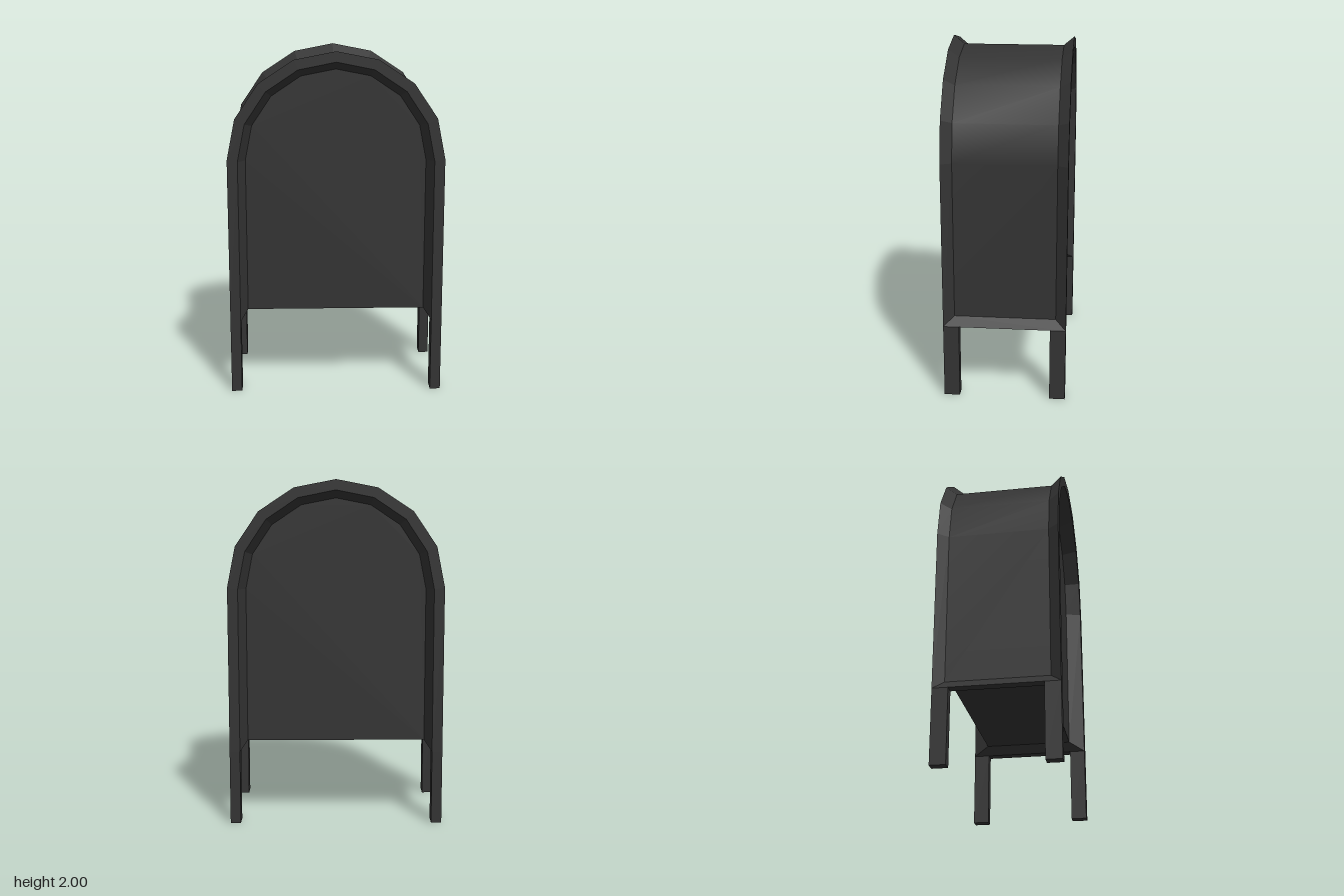
import * as THREE from 'three';

const paint = { color: 0x333333 };
const smooth = new THREE.MeshStandardMaterial(paint);
const flat = new THREE.MeshStandardMaterial({ ...paint, flatShading: true });

// Arch cross-sections: half width, spring height, arch rise, foot height, depth
const PANEL = [0.52, 1.375, 0.52, 0.48, 0.26];
const RIM_IN = [0.56, 1.38, 0.56, 0.43, 0.35];
const RIM_OUT = [0.62, 1.39, 0.61, 0.43, 0.35];
const BODY = [0.575, 1.385, 0.565, 0.48, 0.29];

// Points from the +x foot, over the arch, to the -x foot
function arch([rx, spring, rise, foot, z], side = 1) {
  const pts = [new THREE.Vector3(rx, foot, z * side)];
  for (let i = 0; i <= 8; i++) {
    const a = (i * Math.PI) / 8;
    pts.push(new THREE.Vector3(rx * Math.cos(a), spring + rise * Math.sin(a), z * side));
  }
  pts.push(new THREE.Vector3(-rx, foot, z * side));
  return pts;
}

// Strips of quads joining consecutive cross-sections
function loft(sections) {
  const n = sections[0].length, index = [];
  for (let s = 0; s < sections.length - 1; s++) {
    for (let i = 0; i < n - 1; i++) {
      const a = s * n + i, b = a + n;
      index.push(a, b, b + 1, a, b + 1, a + 1);
    }
  }
  const g = new THREE.BufferGeometry().setFromPoints(sections.flat());
  g.setIndex(index);
  g.computeVertexNormals();
  return g;
}

// Convex faces given as corner lists
function faces(list) {
  const pts = [];
  for (const f of list) {
    for (let i = 1; i < f.length - 1; i++) {
      for (const p of [f[0], f[i], f[i + 1]]) pts.push(new THREE.Vector3(...p));
    }
  }
  const g = new THREE.BufferGeometry().setFromPoints(pts);
  g.computeVertexNormals();
  return g;
}

export function createModel() {
  const model = new THREE.Group();
  const add = (name, geometry, material = flat, parent = model) => {
    const mesh = new THREE.Mesh(geometry, material);
    mesh.name = name;
    parent.add(mesh);
    return mesh;
  };

  // Barrel-vaulted shell
  add('body', loft([arch(BODY), arch(BODY, -1)]), smooth);

  // Flared rims around the recessed end panels
  const rim = loft([arch(PANEL), arch(RIM_IN), arch(RIM_OUT), arch(BODY)]);
  const panel = new THREE.ShapeGeometry(
    new THREE.Shape(arch(PANEL).map((p) => new THREE.Vector2(p.x, p.y))));
  panel.translate(0, 0, PANEL[4]);
  for (const [end, turn] of [['front', 0], ['back', Math.PI]]) {
    add(end + 'Rim', rim).rotation.y = turn;
    add(end + 'Panel', panel).rotation.y = turn;
  }

  // Floor, seen from below
  add('floor', new THREE.PlaneGeometry(1.04, 0.52).rotateX(Math.PI / 2).translate(0, 0.48, 0));

  // Bottom side rails: outer slope, underside, inner slope and corner fillets
  const rail = faces([
    [[0.575, 0.48, 0.29], [0.62, 0.43, 0.35], [0.62, 0.43, -0.35], [0.575, 0.48, -0.29]],
    [[0.62, 0.43, 0.35], [0.56, 0.43, 0.35], [0.56, 0.43, -0.35], [0.62, 0.43, -0.35]],
    [[0.56, 0.43, 0.26], [0.52, 0.48, 0.26], [0.52, 0.48, -0.26], [0.56, 0.43, -0.26]],
    [[0.56, 0.43, 0.35], [0.52, 0.48, 0.26], [0.56, 0.43, 0.26]],
    [[0.56, 0.43, -0.35], [0.56, 0.43, -0.26], [0.52, 0.48, -0.26]],
  ]);
  add('leftRail', rail);
  add('rightRail', rail).rotation.y = Math.PI;

  // Four legs flush with the rims
  const leg = new THREE.BoxGeometry(0.06, 0.43, 0.09);
  for (const [sx, side] of [[1, 'Left'], [-1, 'Right']]) {
    for (const [sz, end] of [[1, 'front'], [-1, 'back']]) {
      add(end + side + 'Leg', leg).position.set(0.59 * sx, 0.215, 0.305 * sz);
    }
  }
  return model;
}
